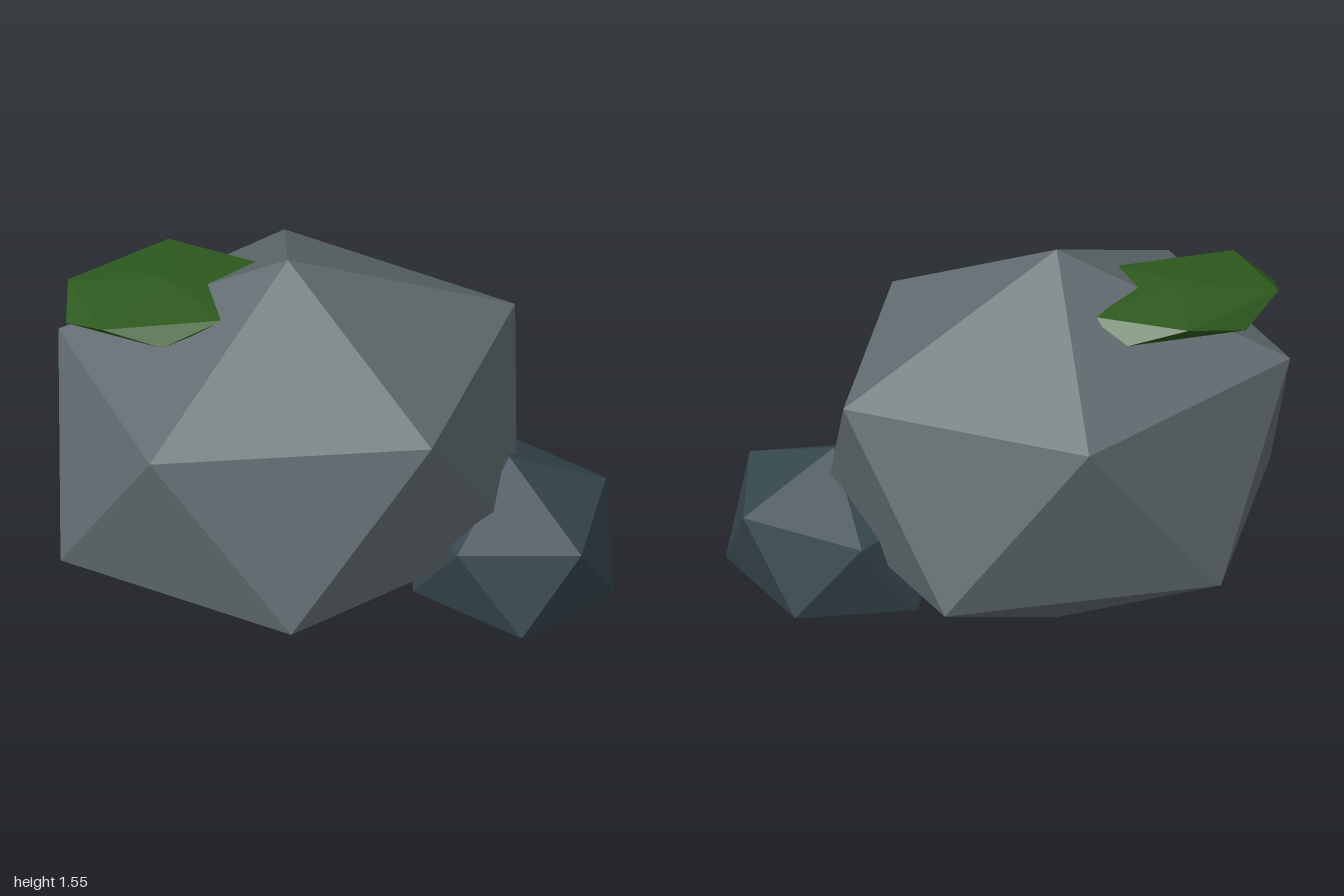
import * as THREE from 'three';

const TILT = Math.atan(2 / (1 + Math.sqrt(5))); // stands an icosahedron on one corner

// Faceted boulder: icosahedron with its poles on y, stretched per axis
function facetedStone(name, color, materialName, radii, position) {
  const geometry = new THREE.IcosahedronGeometry(1, 0);
  geometry.rotateZ(-TILT);
  geometry.scale(...radii);
  geometry.computeVertexNormals();
  const material = new THREE.MeshStandardMaterial({ color });
  material.name = materialName;
  const mesh = new THREE.Mesh(geometry, material);
  mesh.name = name;
  mesh.position.set(...position);
  return mesh;
}

export function createModel() {
  const group = new THREE.Group();
  group.name = 'mossyRocks';
  group.add(
    // main boulder
    facetedStone('largeRock', 0x636e72, 'stoneGrey', [0.998, 0.773, 0.875], [-0.107, 0.776, -0.027]),
    // smaller stone leaning at the front left
    facetedStone('smallRock', 0x37474f, 'darkSlate', [0.424, 0.349, 0.499], [0.617, 0.379, 0.35]),
    // flattened moss cushion on the upper back right
    facetedStone('mossPatch', 0x2d5a1e, 'mossGreen', [0.436, 0.07, 0.325], [-0.5, 1.35, -0.254])
  );
  return group;
}
